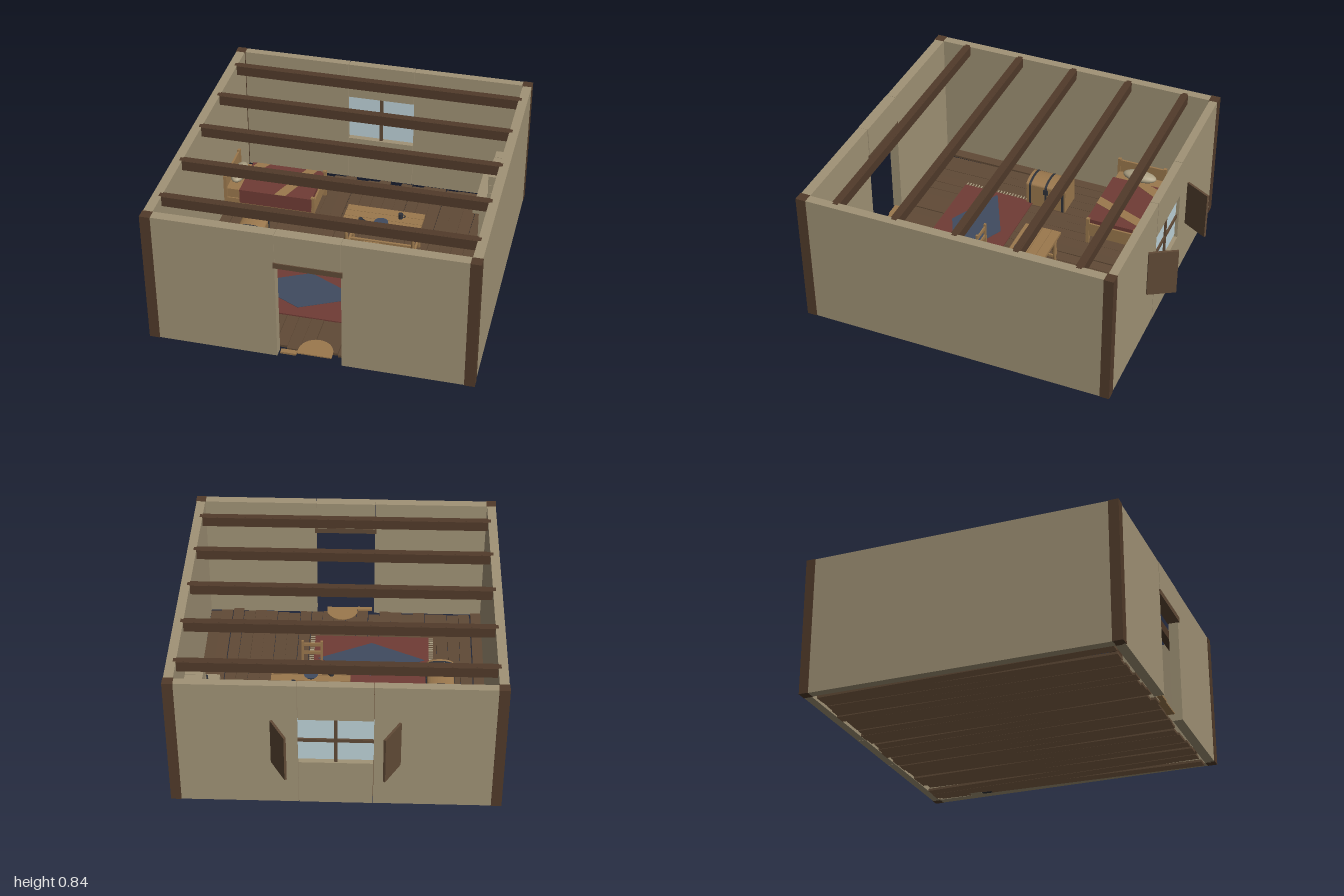
import * as THREE from 'three';

const colours = {
  plaster: 0xa19376, darkWood: 0x513b2a, floorWood: 0x604a36, roughWood: 0x826348, lightWood: 0x9b784d,
  redCloth: 0x703c35, blueCloth: 0x404b5f, glass: 0xbfd4da, iron: 0x2f3239, linen: 0xada184,
};

export function createModel() {
  const root = new THREE.Group();
  root.name = 'cottageRoom';
  const mats = {};
  for (const [name, color] of Object.entries(colours)) {
    mats[name] = new THREE.MeshStandardMaterial({ color });
    mats[name].name = name;
  }
  let seed = 7;
  const rand = () => (seed = (seed * 16807) % 2147483647) / 2147483647;

  const add = (name, geo, mat, parent = root, x = 0, y = 0, z = 0) => {
    const m = new THREE.Mesh(geo, mats[mat]);
    m.name = name;
    m.position.set(x, y, z);
    parent.add(m);
    return m;
  };
  // box given by its limits on each axis
  const box = (name, mat, x0, x1, y0, y1, z0, z1, parent = root) =>
    add(name, new THREE.BoxGeometry(x1 - x0, y1 - y0, z1 - z0), mat, parent,
      (x0 + x1) / 2, (y0 + y1) / 2, (z0 + z1) / 2);
  // thin horizontal plate with an outline of [x, z] points
  const plate = (name, mat, pts, y, depth, parent = root) => {
    const s = new THREE.Shape(pts.map(([x, z]) => new THREE.Vector2(x, -z)));
    const g = new THREE.ExtrudeGeometry(s, { depth, bevelEnabled: false }).rotateX(-Math.PI / 2);
    return add(name, g, mat, parent, 0, y, 0);
  };
  const group = (name) => {
    const g = new THREE.Group();
    g.name = name;
    root.add(g);
    return g;
  };

  // Walls
  const base = 0.02, top = 0.8445;
  const walls = group('walls');
  for (const s of [-1, 1]) {
    const side = (name, mat, a, b, ...r) => box(name, mat, Math.min(s * a, s * b), Math.max(s * a, s * b), ...r, walls);
    side('sideWall', 'plaster', 0.865, 0.918, base, top, -0.8, 0.94);
    side('frontWall', 'plaster', 0.182, 0.87, base, top, 0.935, 0.992);
    side('backWall', 'plaster', 0.207, 0.87, base, top, -0.847, -0.8);
    side('cornerPost', 'darkWood', 0.862, 0.921, base, top + 0.001, 0.937, 0.996);
    side('cornerPost', 'darkWood', 0.862, 0.921, base, top + 0.001, -0.85, -0.795);
  }
  box('wallOverDoor', 'plaster', -0.18, 0.18, 0.645, top, 0.932, 0.994, walls);
  box('doorLintel', 'floorWood', -0.19, 0.19, 0.632, 0.665, 0.93, 1.0, walls);
  box('wallOverWindow', 'plaster', -0.204, 0.204, 0.615, top, -0.848, -0.8, walls);
  box('wallUnderWindow', 'plaster', -0.204, 0.204, base, 0.312, -0.848, -0.8, walls);

  // Window and open shutters
  const win = group('window');
  box('windowPane', 'glass', -0.207, 0.207, 0.322, 0.606, -0.828, -0.82, win);
  box('uprightBar', 'floorWood', -0.01, 0.01, 0.312, 0.615, -0.838, -0.81, win);
  box('crossBar', 'floorWood', -0.207, 0.207, 0.452, 0.472, -0.838, -0.81, win);
  for (const s of [-1, 1]) {
    const shutter = add('shutter', new THREE.BoxGeometry(0.014, 0.295, 0.168), 'floorWood', win,
      s * 0.307, 0.463, -0.923);
    shutter.rotation.y = s * 0.52;
  }

  // Ceiling beams
  for (let i = 0; i < 5; i++) {
    const z = -0.643 + i * 0.3545;
    box('ceilingBeam', 'darkWood', -0.867, 0.867, 0.785, 0.8452, z - 0.0225, z + 0.0225);
    box('beamTenon', 'darkWood', -0.882, 0.882, 0.8, 0.8454, z - 0.015, z + 0.015);
  }

  // Floor planks, each slightly tilted along its length, with rough undersides
  const floor = group('floor');
  const plankMats = [0, 1, 2, 3, 4, 5].map((face) => (face === 3 ? mats.roughWood : mats.floorWood));
  for (let i = 0; i < 24; i++) {
    const x = -0.867 + i * 0.0723, w = 0.066 + rand() * 0.006;
    const plank = box('floorPlank', 'floorWood', x, x + w, 0.0135, 0.028, -0.795 + rand() * 0.03, 0.935 - rand() * 0.03, floor);
    plank.material = plankMats;
    plank.rotation.x = (rand() - 0.5) * 0.03;
  }

  // Half-round doormat and threshold slat
  const arc = Array.from({ length: 15 }, (_, i) => {
    const a = (i / 14) * Math.PI;
    return [0.02 + 0.098 * Math.cos(a), 0.93 - 0.098 * Math.sin(a)];
  });
  plate('doormat', 'lightWood', [...arc, [-0.078, 0.965], [0.118, 0.965]], 0.032, 0.007);
  box('thresholdSlat', 'lightWood', -0.17, -0.08, 0.024, 0.036, 0.945, 0.975);

  // Rug with diamond and fringes
  const rug = group('rug');
  box('rugField', 'redCloth', -0.53, 0.18, 0.032, 0.04, 0.19, 0.655, rug);
  plate('rugDiamond', 'blueCloth', [[-0.505, 0.423], [-0.175, 0.26], [0.155, 0.423], [-0.175, 0.586]], 0.04, 0.002, rug);
  for (let i = 0; i < 24; i++) {
    const z = 0.2 + i * 0.0193;
    box('fringe', 'linen', -0.558, -0.53, 0.034, 0.038, z, z + 0.006, rug);
    box('fringe', 'linen', 0.18, 0.208, 0.034, 0.038, z, z + 0.006, rug);
  }

  // Bed
  const bed = group('bed');
  for (const z of [-0.56, -0.262]) {
    box('footPost', 'lightWood', -0.312, -0.29, 0.022, 0.205, z - 0.008, z + 0.012, bed);
    box('headPost', 'lightWood', -0.864, -0.845, 0.022, 0.28, z - 0.008, z + 0.012, bed);
    box('sideRail', 'lightWood', -0.85, -0.3, 0.085, 0.125, z - 0.004, z + 0.008, bed);
  }
  box('headboard', 'lightWood', -0.862, -0.85, 0.1, 0.27, -0.55, -0.262, bed);
  box('footboard', 'lightWood', -0.306, -0.295, 0.08, 0.17, -0.55, -0.262, bed);
  box('mattress', 'lightWood', -0.85, -0.31, 0.11, 0.186, -0.55, -0.262, bed);
  box('blanket', 'redCloth', -0.765, -0.307, 0.1, 0.195, -0.562, -0.25, bed);
  plate('blanketStripe', 'lightWood', [[-0.735, -0.562], [-0.655, -0.562], [-0.765, -0.37], [-0.765, -0.49]], 0.195, 0.002, bed);
  plate('blanketStripe', 'lightWood', [[-0.418, -0.562], [-0.348, -0.562], [-0.473, -0.25], [-0.543, -0.25]], 0.195, 0.002, bed);
  add('pillow', new THREE.SphereGeometry(1, 20, 12).scale(0.048, 0.032, 0.108), 'linen', bed, -0.808, 0.215, -0.41);

  // Chest with a slightly domed lid and iron bands
  const chest = group('chest');
  const archBlock = (name, mat, half, z0, z1) => {
    const s = new THREE.Shape();
    s.moveTo(-half, 0.026);
    s.lineTo(half, 0.026);
    s.lineTo(half, 0.175);
    s.absellipse(0, 0.175, half, half * 0.35, 0, Math.PI, false);
    const g = new THREE.ExtrudeGeometry(s, { depth: z1 - z0, bevelEnabled: false, curveSegments: 8 });
    add(name, g, mat, chest, -0.592, 0, z0);
  };
  archBlock('chestBody', 'lightWood', 0.08, -0.03, 0.23);
  for (const z of [-0.012, 0.1, 0.205]) archBlock('chestBand', 'iron', 0.084, z - 0.007, z + 0.007);
  box('chestLock', 'iron', -0.514, -0.506, 0.13, 0.165, 0.085, 0.115, chest);

  // Table
  const table = group('table');
  for (let i = 0; i < 4; i++) {
    const z = -0.18 + i * 0.0565;
    box('tableSlat', 'lightWood', -0.057, 0.41, 0.236, 0.254, z, z + 0.054, table);
  }
  for (const z of [-0.155, 0.02]) {
    for (const x of [-0.025, 0.378]) {
      const leg = [[0, 0], [0.014, 0], [0.009, 0.07], [0.016, 0.1], [0.01, 0.15], [0.016, 0.216], [0, 0.216]];
      add('tableLeg', new THREE.LatheGeometry(leg.map(([r, y]) => new THREE.Vector2(r, y)), 8), 'lightWood', table, x, 0.022, z);
    }
    box('tableApron', 'lightWood', -0.025, 0.378, 0.212, 0.237, z - 0.006, z + 0.006, table);
  }
  for (const x of [-0.025, 0.378]) box('tableEndRail', 'lightWood', x - 0.006, x + 0.006, 0.08, 0.095, -0.155, 0.02, table);
  box('tableStretcher', 'lightWood', -0.025, 0.378, 0.08, 0.095, -0.075, -0.06, table);
  add('bowl', new THREE.CylinderGeometry(0.042, 0.028, 0.016, 18), 'blueCloth', table, 0.175, 0.262, -0.025);

  // Small iron mugs on the table
  for (const [x, z] of [[0.055, -0.01], [0.275, -0.11]]) {
    const mug = group('mug');
    mug.position.set(x, 0.254, z);
    add('mugBody', new THREE.CylinderGeometry(0.014, 0.014, 0.032, 12), 'iron', mug, 0, 0.016, 0);
    add('mugHandle', new THREE.TorusGeometry(0.01, 0.003, 6, 12), 'iron', mug, 0.018, 0.016, 0);
  }

  // Chair
  const chair = group('chair');
  for (const x of [0.115, 0.23]) {
    box('chairBackPost', 'lightWood', x, x + 0.014, 0.022, 0.322, 0.222, 0.236, chair);
    box('chairFrontLeg', 'lightWood', x, x + 0.014, 0.022, 0.155, 0.114, 0.128, chair);
    box('chairSideRail', 'lightWood', x + 0.002, x + 0.012, 0.08, 0.092, 0.12, 0.23, chair);
  }
  for (let i = 0; i < 2; i++) {
    box('chairSeatSlat', 'lightWood', 0.112, 0.247, 0.152, 0.166, 0.11 + i * 0.064, 0.172 + i * 0.064, chair);
  }
  for (const y of [0.285, 0.225]) box('chairBackSlat', 'lightWood', 0.12, 0.24, y, y + 0.022, 0.225, 0.233, chair);
  for (const z of [0.121, 0.229]) box('chairRung', 'lightWood', 0.12, 0.24, 0.085, 0.096, z - 0.005, z + 0.005, chair);

  // Stone fireplace with two small pots on the mantel
  const fire = group('fireplace');
  for (const z of [-0.58, -0.255]) box('fireplaceJamb', 'plaster', 0.73, 0.866, base, 0.33, z, z + 0.08, fire);
  box('fireplaceBack', 'iron', 0.84, 0.866, base, 0.33, -0.5, -0.255, fire);
  box('fireplaceHeader', 'plaster', 0.73, 0.866, 0.25, 0.33, -0.5, -0.255, fire);
  box('mantel', 'plaster', 0.695, 0.866, 0.33, 0.36, -0.6, -0.155, fire);
  for (let i = 0; i < 4; i++) {
    const z = -0.525 + i * 0.07;
    for (let j = 0; j < 3; j++) {
      box('chimneyStone', 'plaster', 0.763 + rand() * 0.004, 0.866, 0.36 + j * 0.06, 0.418 + j * 0.06, z, z + 0.067, fire);
    }
  }
  for (const z of [-0.54, -0.21]) add('mantelPot', new THREE.CylinderGeometry(0.013, 0.013, 0.03, 12), 'iron', fire, 0.771, 0.375, z);

  return root;
}
